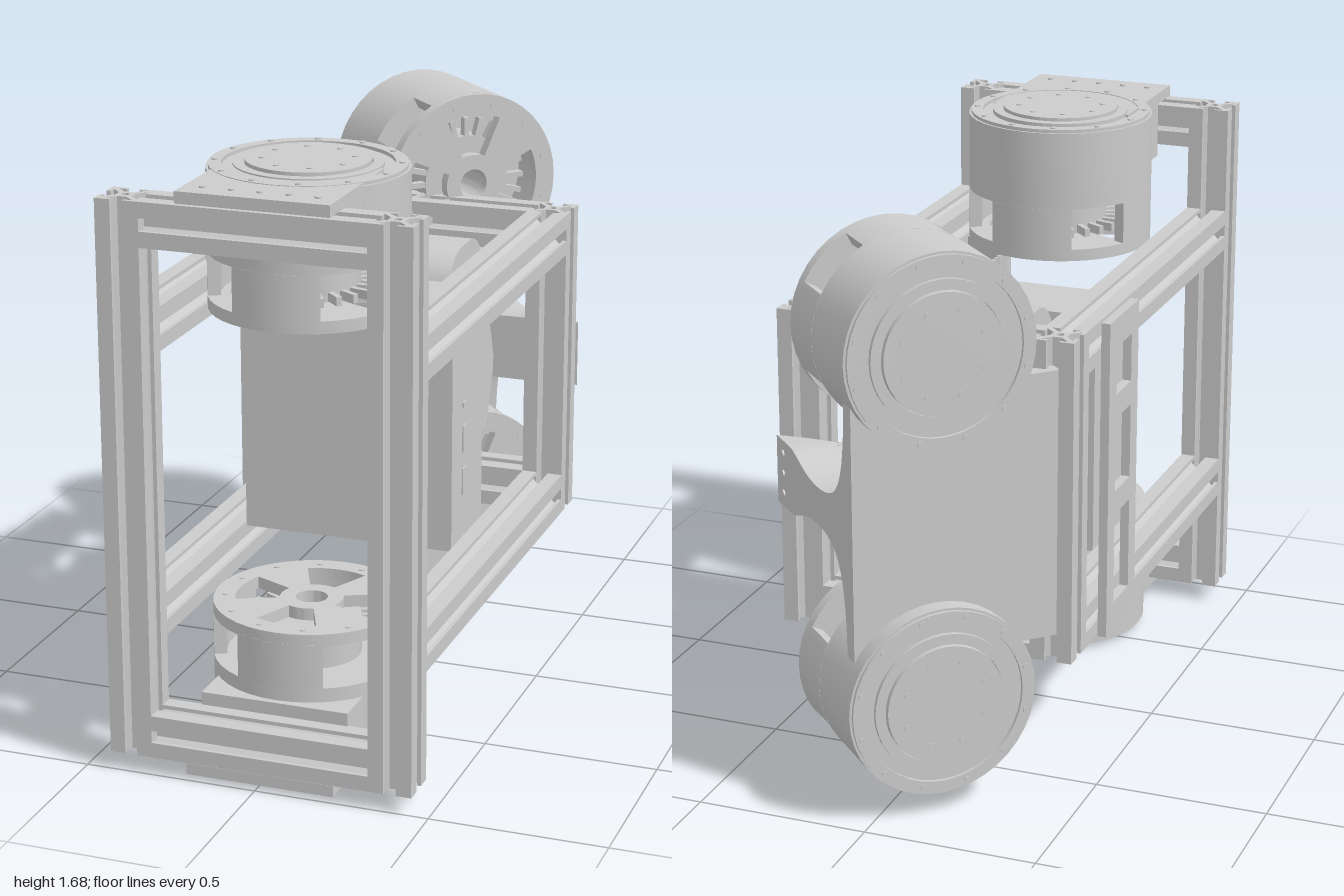
import * as THREE from 'three';
import { toCreasedNormals } from 'three/addons/utils/BufferGeometryUtils.js';
import { RoundedBoxGeometry } from 'three/addons/geometries/RoundedBoxGeometry.js';

const grey = new THREE.MeshStandardMaterial({ color: 0xcccccc });
const MID = 0.842; // height of the mirror plane
const CX = 0.012; // middle of the frame in x

function add(parent, name, geometry) {
  const mesh = new THREE.Mesh(geometry, grey);
  mesh.name = name;
  parent.add(mesh);
  return mesh;
}

function box(parent, name, x0, x1, y0, y1, z0, z1) {
  const mesh = add(parent, name, new THREE.BoxGeometry(x1 - x0, y1 - y0, z1 - z0));
  mesh.position.set((x0 + x1) / 2, (y0 + y1) / 2, (z0 + z1) / 2);
  return mesh;
}

function extrude(shape, depth, steps = 1) {
  const g = new THREE.ExtrudeGeometry(shape, { depth, steps, bevelEnabled: false, curveSegments: 20 });
  return toCreasedNormals(g, 0.5);
}

// Shape extruded upward from y0 to y1
function extrudeUp(shape, y0, y1) {
  return extrude(shape, y1 - y0).rotateX(-Math.PI / 2).translate(0, y0, 0);
}

// Ring sector between two radii and two angles
function sector(r0, r1, a0, a1, Type = THREE.Shape) {
  const s = new Type();
  s.absarc(0, 0, r1, a0, a1, false);
  s.absarc(0, 0, r0, a1, a0, true);
  s.closePath();
  return s;
}

function disc(r, hole = 0) {
  const s = new THREE.Shape().absarc(0, 0, r, 0, Math.PI * 2, false);
  if (hole) s.holes.push(new THREE.Path().absarc(0, 0, hole, 0, Math.PI * 2, true));
  return s;
}

// Slotted square profile
function slotProfile() {
  const side = [[0.062, -0.062], [0.062, -0.018], [0.051, -0.018], [0.051, -0.04], [0.024, -0.013],
    [0.024, 0.013], [0.051, 0.04], [0.051, 0.018], [0.062, 0.018]];
  const pts = [];
  for (let k = 0; k < 4; k++) {
    const c = Math.round(Math.cos(k * Math.PI / 2)), s = Math.round(Math.sin(k * Math.PI / 2));
    for (const [x, y] of side) pts.push(new THREE.Vector2(x * c - y * s, x * s + y * c));
  }
  const shape = new THREE.Shape(pts);
  shape.holes.push(new THREE.Path().absarc(0, 0, 0.011, 0, Math.PI * 2, true));
  return shape;
}

// Slotted beam centred at x, y, z along one axis
function beam(parent, name, axis, length, x, y, z) {
  const g = extrude(slotProfile(), length).translate(0, 0, -length / 2);
  if (axis === 'x') g.rotateY(Math.PI / 2);
  if (axis === 'y') g.rotateX(-Math.PI / 2);
  add(parent, name, g).position.set(x, y, z);
}

// Motor standing on its spoked face, output face at y = 0.4
function motor(name) {
  const m = new THREE.Group();
  m.name = name;
  const R = 0.277;
  const face = disc(R, 0.045);
  for (let k = 0; k < 4; k++) {
    const a = k * Math.PI / 2;
    face.holes.push(sector(0.09, 0.215, a - 0.42, a + 0.42, THREE.Path));
    add(m, 'housingPillar', extrudeUp(sector(0.24, R, a - 0.47, a + 0.47), 0.03, 0.16));
  }
  add(m, 'spokedFace', extrudeUp(face, 0, 0.035));
  add(m, 'housing', extrudeUp(disc(R), 0.16, 0.39));
  add(m, 'outerRim', extrudeUp(disc(0.27, 0.235), 0.39, 0.4));
  add(m, 'outputRing', extrudeUp(disc(0.205, 0.175), 0.39, 0.402));
  add(m, 'outputDisc', extrudeUp(disc(0.172), 0.39, 0.411));
  add(m, 'statorCore', extrudeUp(disc(0.14, 0.05), 0.045, 0.16));
  for (let k = 0; k < 24; k++) {
    const a = k * Math.PI / 12;
    const tooth = add(m, 'statorTooth', new THREE.BoxGeometry(0.06, 0.025, 0.016));
    tooth.position.set(Math.cos(a) * 0.165, 0.06, -Math.sin(a) * 0.165);
    tooth.rotation.y = a;
  }
  // Bolts on the rim, the output disc and the spoked face
  for (const [n, r, y] of [[12, 0.253, 0.401], [8, 0.125, 0.411], [12, 0.245, 0]]) {
    for (let k = 0; k < n; k++) {
      const a = (k + 0.5) * 2 * Math.PI / n;
      const bolt = add(m, 'bolt', new THREE.CylinderGeometry(0.009, 0.009, 0.006, 8));
      bolt.position.set(Math.cos(a) * r, y, Math.sin(a) * r);
    }
  }
  return m;
}

export function createModel() {
  const root = new THREE.Group();
  root.name = 'motorFrame';

  // Frame of slotted beams
  const frame = new THREE.Group();
  frame.name = 'frame';
  root.add(frame);
  for (const side of [-1, 1]) {
    const x = CX + side * 0.378;
    beam(frame, 'frontPost', 'y', 1.58, x, MID, 0.938);
    beam(frame, 'rearPost', 'y', 0.944, x, MID, -0.46);
    for (const up of [-1, 1]) beam(frame, 'sideRail', 'z', 1.274, x, MID + up * 0.41, 0.239);
  }
  for (const up of [-1, 1]) {
    beam(frame, 'frontCrossbar', 'x', 0.632, CX, MID + up * 0.728, 0.938);
    beam(frame, 'rearCrossbar', 'x', 0.632, CX, MID + up * 0.41, -0.46);
  }

  // Upper and lower motors, front pair upright and rear pair turned outward
  for (const up of [-1, 1]) {
    const front = motor('frontMotor');
    front.position.set(CX, MID + up * 0.428, 0.585);
    if (up < 0) front.rotation.x = Math.PI;
    const plate = new THREE.Shape([[-0.215, -0.41], [0.215, -0.41], [0.215, 0], [-0.215, 0]]
      .map(([x, y]) => new THREE.Vector2(x, y)));
    const mount = new THREE.Group();
    mount.name = 'frontMotorMount';
    add(mount, 'mountPlate', extrudeUp(plate, 0.365, 0.398));
    add(mount, 'mountBlock', new THREE.BoxGeometry(0.43, 0.165, 0.29)).position.set(0, 0.283, 0.15);
    for (let k = 0; k < 5; k++) {
      add(mount, 'plateBolt', new THREE.CylinderGeometry(0.009, 0.009, 0.006, 8)).position.set(-0.16 + k * 0.08, 0.4, 0.35);
    }
    mount.position.set(CX, MID + up * 0.428, 0.585);
    mount.scale.y = 1;
    if (up < 0) {
      // Same part turned over, facing the same way
      mount.rotation.z = Math.PI;
    }
    root.add(front, mount);

    const rear = motor('rearMotor');
    rear.rotation.set(Math.PI / 2, Math.PI * 5 / 4, 0, 'YXZ');
    rear.position.set(0.117, MID + up * 0.505, -0.534);
    root.add(rear);
  }

  // Rear bracket: local x runs inward from the plate, z along the plate
  const bracket = new THREE.Group();
  bracket.name = 'rearBracket';
  const q = Math.SQRT1_2, s0 = -0.635, b0 = 0.7;
  bracket.applyMatrix4(new THREE.Matrix4().makeBasis(new THREE.Vector3(q, 0, q),
    new THREE.Vector3(0, 1, 0), new THREE.Vector3(-q, 0, q)));
  bracket.position.set((s0 + b0) * q, MID, (s0 - b0) * q);
  root.add(bracket);
  box(bracket, 'backPlate', 0, 0.045, -0.39, 0.39, 0, 0.61);
  const web = new THREE.Shape();
  web.moveTo(0, -0.36);
  web.lineTo(0.05, -0.36);
  web.bezierCurveTo(0.06, -0.1, 0.12, -0.06, 0.26, -0.055);
  web.bezierCurveTo(0.38, -0.055, 0.42, -0.1, 0.48, -0.1);
  web.lineTo(0.58, -0.1);
  web.lineTo(0.58, 0.1);
  web.lineTo(0.48, 0.1);
  web.bezierCurveTo(0.42, 0.1, 0.38, 0.055, 0.26, 0.055);
  web.bezierCurveTo(0.12, 0.06, 0.06, 0.1, 0.05, 0.36);
  web.lineTo(0, 0.36);
  let webGeo = new THREE.ExtrudeGeometry(web, { depth: 0.5, steps: 8, bevelEnabled: false, curveSegments: 14 });
  const p = webGeo.attributes.position;
  // Cut the web off along the rear of the frame
  for (let i = 0; i < p.count; i++) p.setX(i, Math.min(p.getX(i), 0.59 - p.getZ(i)));
  add(bracket, 'curvedWeb', toCreasedNormals(webGeo, 0.5));
  for (const y of [-0.06, 0, 0.06]) {
    add(bracket, 'bracketBolt', new THREE.CylinderGeometry(0.012, 0.012, 0.01, 8).rotateX(Math.PI / 2)).position.set(0.53, y, 0);
  }

  // Electronics case with tabs and small ports on its side
  const core = new THREE.Group();
  core.name = 'core';
  root.add(core);
  box(core, 'electronicsCase', -0.305, 0.325, 0.48, 1.205, 0.045, 0.288);
  box(core, 'caseTab', -0.305, -0.2, 0.49, 1.195, 0.01, 0.045);
  box(core, 'caseTab', 0.225, 0.325, 0.49, 1.195, 0.01, 0.045);
  for (const [y0, y1] of [[0.62, 0.7], [0.75, 0.83], [0.885, 0.9]]) box(core, 'casePort', 0.32, 0.329, y0, y1, 0.165, 0.195);

  // Battery with rounded long edges, holder and side plate
  const pack = new THREE.Shape();
  const r = 0.12, z0 = 0.005, z1 = 0.325, y0 = 0.42, y1 = 1.265;
  pack.absarc(z1 - r, y1 - r, r, 0, Math.PI / 2, false);
  pack.absarc(z0 + r, y1 - r, r, Math.PI / 2, Math.PI, false);
  pack.absarc(z0 + r, y0 + r, r, Math.PI, Math.PI * 1.5, false);
  pack.absarc(z1 - r, y0 + r, r, Math.PI * 1.5, Math.PI * 2, false);
  add(core, 'battery', extrude(pack, 0.395).rotateY(Math.PI / 2)).position.x = -0.18;
  box(core, 'batteryHolder', -0.2, 0.21, 0.65, 1.03, -0.4, -0.32);
  const side = new THREE.Shape([[0.12, 0.65], [0.33, 0.65], [0.39, 0.82], [0.39, 0.86], [0.33, 1.03], [0.12, 1.03]]
    .map(([z, y]) => new THREE.Vector2(z, y)));
  add(core, 'batterySidePlate', extrude(side, 0.02).rotateY(Math.PI / 2)).position.x = 0.212;
  add(core, 'batteryLatch', new RoundedBoxGeometry(0.02, 0.2, 0.035, 2, 0.008)).position.set(0.237, MID, -0.16);
  add(core, 'batteryHandle', new RoundedBoxGeometry(0.03, 0.18, 0.04, 2, 0.01)).position.set(0.225, MID, 0.05);
  for (let k = 0; k < 4; k++) {
    add(core, 'connectorPin', new THREE.CylinderGeometry(0.007, 0.007, 0.17, 8)).position.set(-0.06, 1.325, -0.125 - k * 0.021);
  }

  // Angled plate joining the two front motors
  const strut = add(root, 'motorStrut', new THREE.BoxGeometry(0.215, 0.86, 0.025));
  strut.position.set(0.182, MID, 0.41);
  strut.rotation.y = -0.74;

  // Side panel with three windows
  const panel = new THREE.Shape([[0.05, 0.365], [0.3, 0.365], [0.3, 1.305], [0.05, 1.305]]
    .map(([z, y]) => new THREE.Vector2(z, y)));
  for (const [a, b] of [[0.45, 0.72], [0.79, 1.01], [1.08, 1.22]]) {
    panel.holes.push(new THREE.Path([[0.11, a], [0.11, b], [0.24, b], [0.24, a]].map(([z, y]) => new THREE.Vector2(z, y))));
  }
  add(root, 'sidePanel', extrude(panel, 0.026).rotateY(Math.PI / 2)).position.x = -0.455;

  return root;
}
